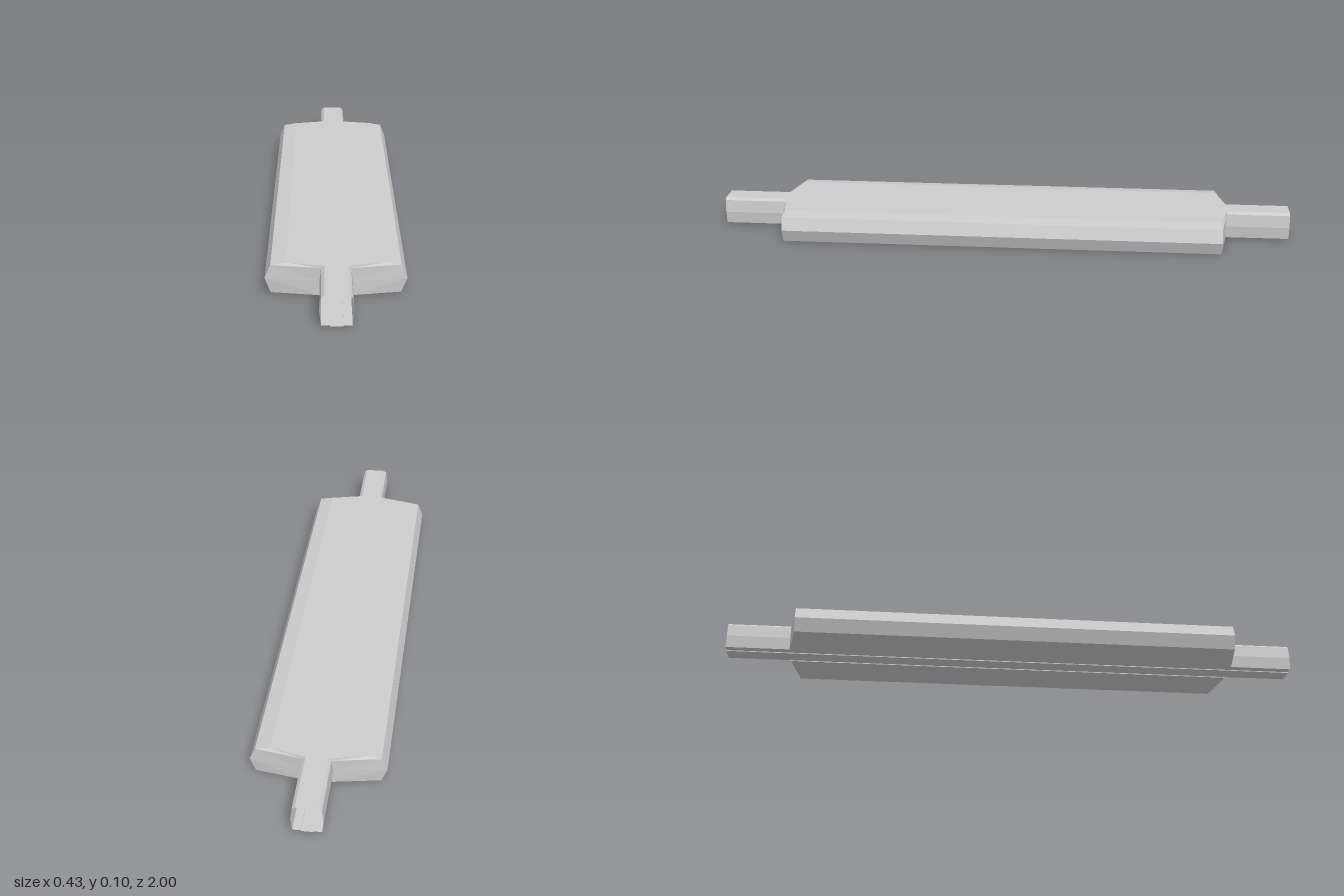
import * as THREE from 'three';

// Half cross-sections [x, y], from the roof centre round to the floor centre
const FLOOR = [[0.045, 0.003], [0.019, 0.003], [0.019, 0], [0, 0]];
const HALL = [[0, 0.096], [0.035, 0.096], [0.15, 0.096], [0.197, 0.088], [0.215, 0.045], [0.197, 0], [0.045, 0], ...FLOOR];
const PASSAGE = [[0, 0.096], [0.035, 0.096], [0.045, 0.088], [0.05, 0.045], ...FLOOR];

// The hall ends slant back towards the sides, and the roof edge is set in a little
function hallEnd([x, y]) {
  const wall = 0.79 - 0.168 * Math.min(Math.max(x, 0.04), 0.197);
  const inset = y > 0.09 ? 0.07 * Math.max(x - 0.035, 0) : 0;
  return wall - inset;
}

// Flat-shaded mesh from quads, mirrored left to right
function quadMesh(name, quads, material) {
  const pos = [];
  for (const s of [1, -1]) {
    for (const q of quads) {
      for (const i of s > 0 ? [0, 1, 2, 0, 2, 3] : [0, 2, 1, 0, 3, 2]) {
        pos.push(s * q[i][0], q[i][1], q[i][2]);
      }
    }
  }
  const geometry = new THREE.BufferGeometry();
  geometry.setAttribute('position', new THREE.Float32BufferAttribute(pos, 3));
  geometry.computeVertexNormals();
  const mesh = new THREE.Mesh(geometry, material);
  mesh.name = name;
  return mesh;
}

// Quads that sweep a half cross-section between two end rules
function sweep(profile, back, front) {
  const at = (p, rule) => [p[0], p[1], rule(p)];
  return profile.slice(1).map((b, i) => {
    const a = profile[i];
    return [at(a, back), at(a, front), at(b, front), at(b, back)];
  });
}

// Quads that fill the hall end between the passage opening and the outer walls
function endWall() {
  const inner = [[0.045, 0], [0.05, 0.045], [0.045, 0.088], [0.035, 0.096]];
  const outer = [[0.197, 0], [0.215, 0.045], [0.197, 0.088], [0.15, 0.096]];
  const at = p => [p[0], p[1], hallEnd(p)];
  const quads = inner.slice(1).map((p, i) =>
    [inner[i], outer[i], outer[i + 1], p].map(at));
  // Small step below the raised floor edge
  quads.push([[0.019, 0], [0.045, 0], [0.045, 0.003], [0.019, 0.003]].map(at));
  return quads;
}

export function createModel() {
  const group = new THREE.Group();
  group.name = 'tunnelHall';
  const shell = new THREE.MeshStandardMaterial({ color: 0xcccccc });
  shell.name = 'light grey';
  shell.side = THREE.DoubleSide;
  shell.flatShading = true;

  // Wide central hall
  group.add(quadMesh('hallShell', sweep(HALL, p => -hallEnd(p), hallEnd), shell));

  // Open passage and end wall at the front and the back
  for (const [label, turn] of [['front', 0], ['back', Math.PI]]) {
    const end = new THREE.Group();
    end.name = label + 'End';
    end.add(quadMesh('passage', sweep(PASSAGE, hallEnd, () => 1), shell));
    end.add(quadMesh('endWall', endWall(), shell));
    end.rotation.y = turn;
    group.add(end);
  }
  return group;
}
